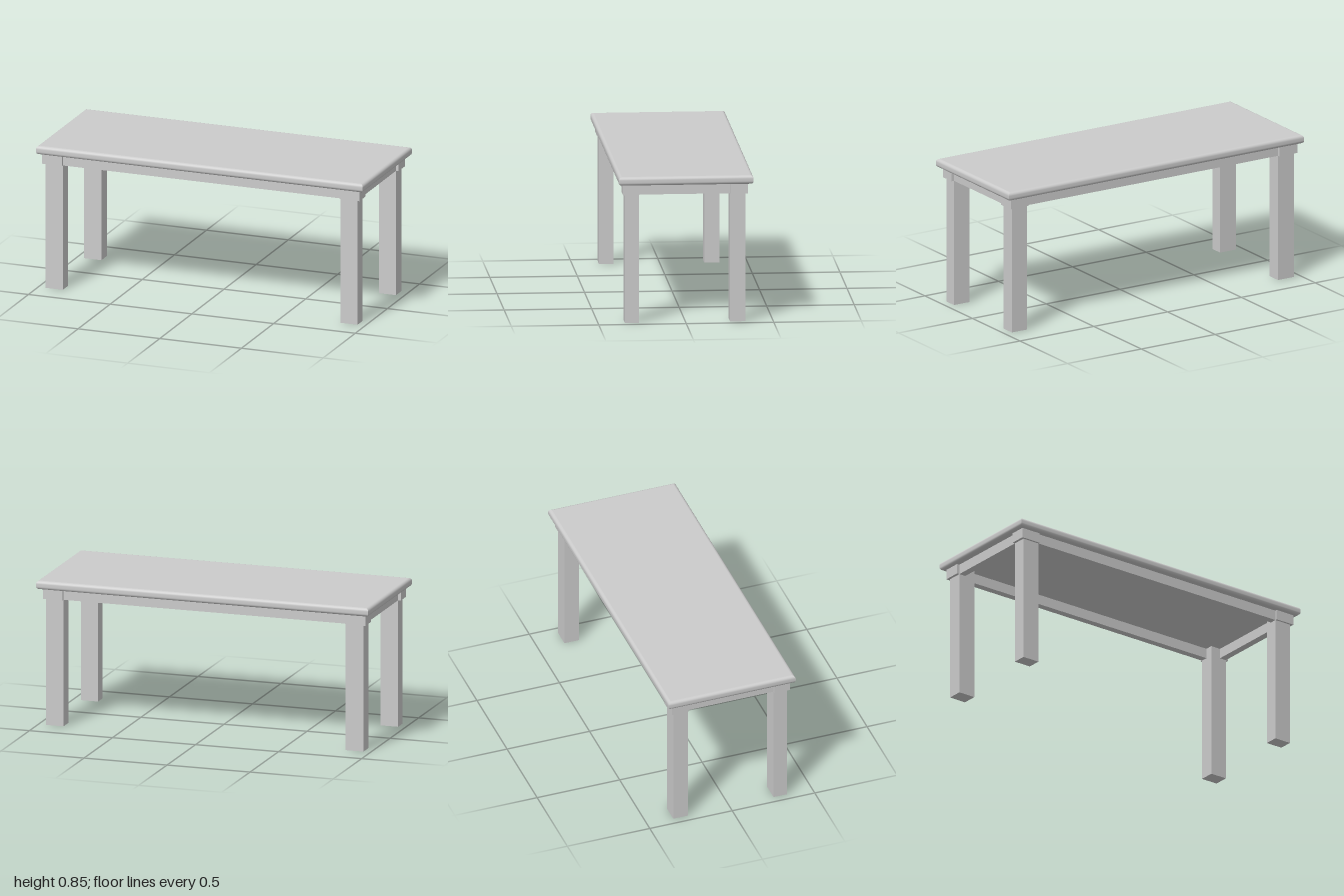
import * as THREE from 'three';

const material = new THREE.MeshStandardMaterial({ color: 0xcccccc });

// Box given by its limits on each axis
function box(name, x0, x1, y0, y1, z0, z1) {
  const mesh = new THREE.Mesh(new THREE.BoxGeometry(x1 - x0, y1 - y0, z1 - z0), material);
  mesh.position.set((x0 + x1) / 2, (y0 + y1) / 2, (z0 + z1) / 2);
  mesh.name = name;
  return mesh;
}

// Slab with rounded long and short edges that meet in sharp mitred corners
function roundedSlab(width, height, depth, radius, steps) {
  const rows = steps * 2 + 1;
  const geometry = new THREE.BoxGeometry(width, height, depth, 1, rows, 1);
  const p = geometry.attributes.position;
  for (let i = 0; i < p.count; i++) {
    const row = Math.round((p.getY(i) / height + 0.5) * rows);
    const upper = row > steps;
    const k = upper ? rows - row : row;
    const angle = (k / steps) * Math.PI / 2;
    const inset = radius * (1 - Math.sin(angle));
    const y = height / 2 - radius * (1 - Math.cos(angle));
    p.setXYZ(i,
      p.getX(i) - Math.sign(p.getX(i)) * inset,
      upper ? y : -y,
      p.getZ(i) - Math.sign(p.getZ(i)) * inset);
  }
  geometry.computeVertexNormals();
  return geometry;
}

export function createModel() {
  const model = new THREE.Group();
  model.name = 'table';
  const apronY = 0.743, topY = 0.802, topThickness = 0.05;

  // Table top
  const top = new THREE.Mesh(roundedSlab(2, topThickness, 0.77, 0.018, 5), material);
  top.position.y = topY + topThickness / 2;
  top.name = 'tableTop';
  model.add(top);

  // Legs with a wider block at the head of each
  for (const [side, x0, x1, bx0, bx1] of [
    ['left', 0.849, 0.953, 0.849, 0.969],
    ['right', -0.957, -0.85, -0.973, -0.85],
  ]) {
    for (const [end, z0, z1, bz0, bz1] of [
      ['Front', 0.266, 0.347, 0.266, 0.359],
      ['Back', -0.342, -0.254, -0.356, -0.254],
    ]) {
      model.add(box(side + end + 'Leg', x0, x1, 0, apronY, z0, z1));
      model.add(box(side + end + 'LegBlock', bx0, bx1, apronY, topY, bz0, bz1));
    }
  }

  // Apron rails between the blocks
  model.add(box('frontApron', -0.85, 0.849, apronY, topY, 0.305, 0.347));
  model.add(box('backApron', -0.85, 0.849, apronY, topY, -0.342, -0.3));
  model.add(box('leftApron', 0.911, 0.953, apronY, topY, -0.254, 0.266));
  model.add(box('rightApron', -0.957, -0.915, apronY, topY, -0.254, 0.266));

  return model;
}
